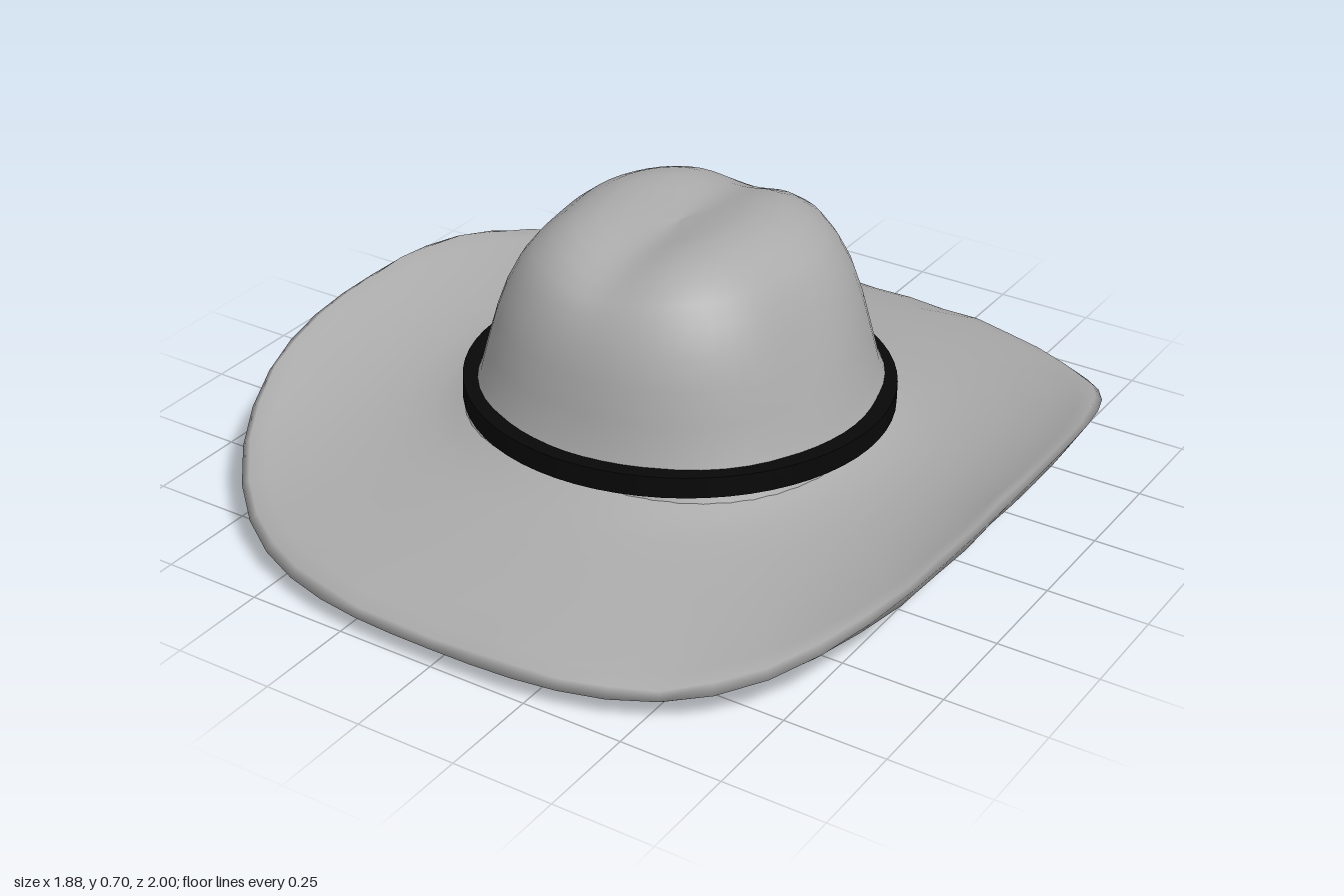
import * as THREE from 'three';

const SEG = 56;

// Skin a stack of closed rings; point(ring, angle) returns [x, y, z]
function loft(rings, point) {
  const pos = [], idx = [];
  rings.forEach(r => {
    for (let j = 0; j < SEG; j++) pos.push(...point(r, (j / SEG) * Math.PI * 2));
  });
  for (let i = 0; i < rings.length - 1; i++) {
    for (let j = 0; j < SEG; j++) {
      const k = (j + 1) % SEG;
      const a = i * SEG + j, b = i * SEG + k, c = a + SEG, d = b + SEG;
      idx.push(a, c, b, b, c, d);
    }
  }
  const g = new THREE.BufferGeometry();
  g.setAttribute('position', new THREE.Float32BufferAttribute(pos, 3));
  g.setIndex(idx);
  g.computeVertexNormals();
  return g;
}

// Rounded-square outline: exponent 2 is an ellipse, larger is squarer
function outline(angle, rx, rz, n) {
  const c = Math.cos(angle), s = Math.sin(angle);
  const k = Math.pow(Math.pow(Math.abs(c), n) + Math.pow(Math.abs(s), n), -1 / n);
  return [rx * c * k, rz * s * k];
}

export function createModel() {
  const felt = new THREE.MeshStandardMaterial({ color: 0xaaaaaa });
  felt.name = 'greyFelt';
  const black = new THREE.MeshStandardMaterial({ color: 0x080808 });
  black.name = 'blackBand';

  const hat = new THREE.Group();
  hat.name = 'hat';
  const add = (name, geometry, material) => {
    const mesh = new THREE.Mesh(geometry, material);
    mesh.name = name;
    hat.add(mesh);
    return mesh;
  };

  // Brim: closed underside, worn rim, top rising to the crown; [reach, height]
  const brimRings = [
    [0, 0.04], [0.25, 0.04], [0.42, 0.038], [0.55, 0.025], [0.68, 0.012],
    [0.8, 0.004], [0.9, 0.01], [0.96, 0.025], [1, 0.05],
    [0.985, 0.072], [0.95, 0.088], [0.88, 0.112], [0.78, 0.138],
    [0.68, 0.16], [0.6, 0.178], [0.54, 0.2], [0.46, 0.24],
  ];
  add('brim', loft(brimRings, ([t, y], a) => {
    // the outline is squarer at the rim and rounder by the crown
    const n = 2 + 0.65 * Math.pow(t, 2);
    const [x, z] = outline(a, 0.94 * t, t, n);
    const wear = t > 0.94 && t < 1 ? 0.006 * Math.sin(a * 17) * Math.sin(a * 7 + 1) : 0;
    // sides curl upward
    const curl = 0.22 * Math.pow(Math.abs(x) / 0.94, 5);
    return [x, y + curl + wear, z];
  }), felt);

  // Crown: domed, creased front to back, pinched at the sides; [height, rx, rz]
  const crownRings = [
    [0.18, 0.52, 0.52], [0.24, 0.485, 0.49], [0.3, 0.46, 0.465], [0.38, 0.438, 0.45],
    [0.46, 0.415, 0.435], [0.53, 0.39, 0.415], [0.59, 0.36, 0.385], [0.635, 0.325, 0.355],
    [0.67, 0.28, 0.31], [0.693, 0.235, 0.26], [0.705, 0.18, 0.2], [0.708, 0.12, 0.14],
    [0.708, 0.06, 0.07], [0.708, 0, 0],
  ];
  add('crown', loft(crownRings, ([y, rx, rz], a) => {
    const [x, z] = outline(a, rx, rz, 2.25);
    const upper = THREE.MathUtils.smoothstep(y, 0.55, 0.7);
    const crease = 0.034 * upper * Math.exp(-Math.pow(x / 0.1, 2));
    const pinch = 0.05 * THREE.MathUtils.smoothstep(y, 0.3, 0.55)
      * Math.exp(-Math.pow((z - 0.08) / 0.12, 2));
    return [x * (1 - pinch), y - crease, z - 0.01];
  }), felt);

  // Band: square-edged ring, slightly raised at the front
  const r0 = 0.482, r1 = 0.522, h = 0.026;
  const section = [[r0, -h], [r1, -h], [r1, h], [r0, h], [r0, -h]]
    .map(([r, y]) => new THREE.Vector2(r, y));
  const bandGeometry = new THREE.LatheGeometry(section, 64).toNonIndexed();
  bandGeometry.computeVertexNormals();
  const band = add('hatBand', bandGeometry, black);
  band.position.set(0, 0.247, -0.008);
  band.rotation.x = -0.03;

  return hat;
}
